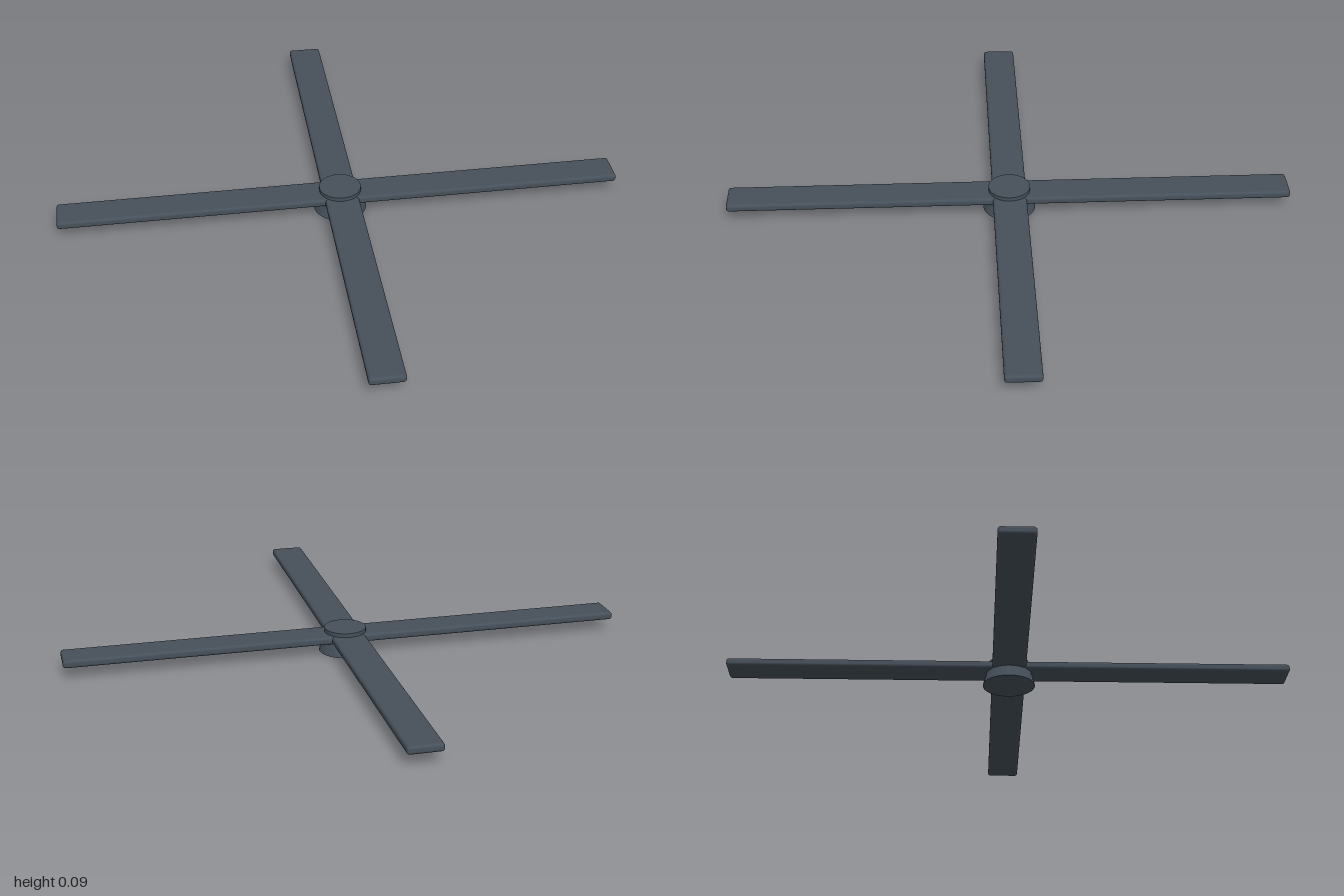
import * as THREE from 'three';
import { RoundedBoxGeometry } from 'three/addons/geometries/RoundedBoxGeometry.js';

export function createModel() {
  const model = new THREE.Group();
  model.name = 'rotor';
  const slate = new THREE.MeshStandardMaterial({ color: 0x46505a });
  slate.name = 'slate grey';

  const add = (name, geometry, y) => {
    const mesh = new THREE.Mesh(geometry, slate);
    mesh.name = name;
    mesh.position.y = y;
    model.add(mesh);
    return mesh;
  };

  // Two crossed beams make the four blades, with softened edges
  const beam = new RoundedBoxGeometry(2, 0.028, 0.12, 3, 0.01);
  add('sideBlades', beam, 0.057);
  add('frontBackBlades', beam, 0.057).rotation.y = Math.PI / 2;

  // Tapered hub below the blades and round cap on top
  add('hub', new THREE.CylinderGeometry(0.078, 0.093, 0.055, 40), 0.0275);
  add('cap', new THREE.CylinderGeometry(0.074, 0.074, 0.033, 40), 0.0685);

  return model;
}
